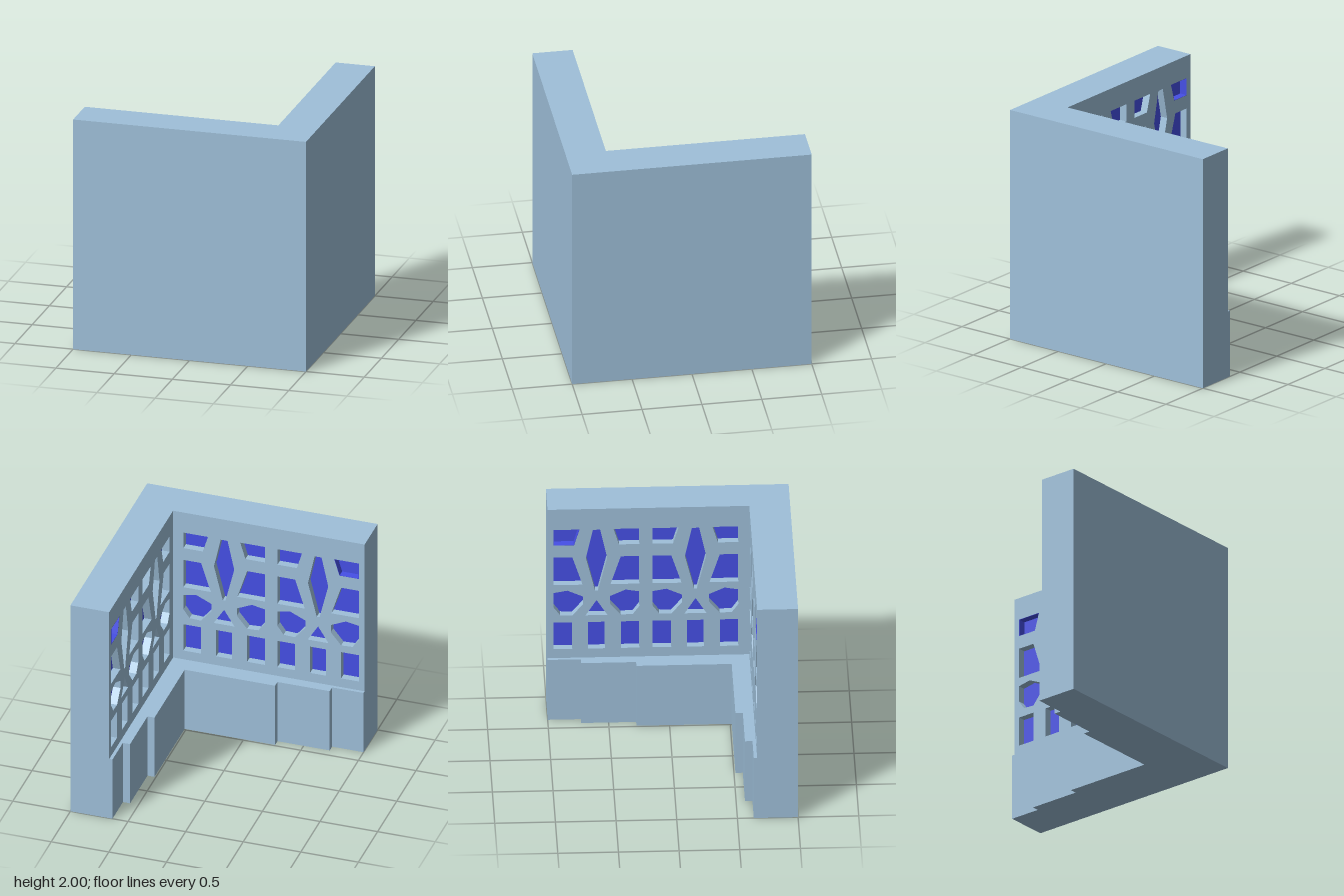
import * as THREE from 'three';

const INNER = 0.663;     // inner face of the walls
const DEPTH = 0.07;      // depth of the window recesses
const CORE = INNER + DEPTH;
const LEDGE = 0.575;     // height of the plinth
const CENTRES = [0.22, -0.596];

const stone = new THREE.MeshStandardMaterial({ color: 0x9fc0da });
stone.name = 'pale blue stone';
const glass = new THREE.MeshStandardMaterial({ color: 0x464fe6 });
glass.name = 'blue glass';

// Openings of one tracery motif, as offsets from its centre line and heights
const CENTRAL = [
  [[-0.03, 1.8], [0.03, 1.8], [0.088, 1.53], [0.012, 1.217], [-0.012, 1.217], [-0.088, 1.53]], // lozenge
  [[0, 1.125], [0.09, 0.98], [-0.09, 0.98]],                                                   // triangle
  [[-0.07, 0.915], [0.07, 0.915], [0.07, 0.66], [-0.07, 0.66]],                                // middle slot
];
const TOP_LIGHT = [[0.14, 1.805], [0.353, 1.805], [0.353, 1.655], [0.185, 1.655]];
const SIDE = [
  TOP_LIGHT,
  [[0.2, 1.54], [0.353, 1.54], [0.353, 1.275], [0.115, 1.275]],                                // tall light
  [[0.24, 1.22], [0.353, 1.2], [0.353, 1.06], [0.3, 0.985], [0.2, 0.98], [0.11, 1.09], [0.11, 1.16]], // petal
  [[0.2, 0.915], [0.353, 0.915], [0.353, 0.66], [0.2, 0.66]],                                  // side slot
];

const toPoints = (list) => list.map(([x, y]) => new THREE.Vector2(x, y));

function mesh(name, geometry, material, parent) {
  const m = new THREE.Mesh(geometry, material);
  m.name = name;
  parent.add(m);
  return m;
}

// Prism standing on the ground, from an outline of [x, z] points
function prism(outline, height) {
  const shape = new THREE.Shape(toPoints(outline.map(([x, z]) => [x, -z])));
  return new THREE.ExtrudeGeometry(shape, { depth: height, bevelEnabled: false }).rotateX(-Math.PI / 2);
}

// One inner wall face with pierced tracery over glass; dir flips it along the wall
function traceryWall(name, dir, end) {
  const wall = new THREE.Group();
  wall.name = name;
  const lo = Math.min(-dir, end * dir);
  const hi = Math.max(-dir, end * dir);
  const settings = { depth: DEPTH, bevelEnabled: false };
  const place = (outline, centre, side) =>
    toPoints(outline.map(([x, y]) => [dir * (centre + side * x), y]));

  const shape = new THREE.Shape(toPoints([[lo, LEDGE], [hi, LEDGE], [hi, 2], [lo, 2]]));
  const cut = (...args) => shape.holes.push(new THREE.Path(place(...args)));
  for (const c of CENTRES) {
    CENTRAL.forEach((o) => cut(o, c, 1));
    for (const side of [-1, 1]) SIDE.forEach((o) => cut(o, c, side));
  }
  mesh('tracery', new THREE.ExtrudeGeometry(shape, settings), stone, wall).position.z = INNER;

  const pane = new THREE.BoxGeometry(1.57, 1.25, 0.006);
  mesh('glassPane', pane, glass, wall).position.set(-0.17 * dir, 1.25, CORE - 0.002);

  // Blue lining of the top light at the free end
  const rim = place(TOP_LIGHT, CENTRES[1], -1);
  if (THREE.ShapeUtils.isClockWise(rim)) rim.reverse();
  const middle = rim.reduce((sum, p) => sum.add(p), new THREE.Vector2()).divideScalar(rim.length);
  const lining = new THREE.Shape(rim);
  lining.holes.push(new THREE.Path(rim.map((p) => p.clone().lerp(middle, 0.03))));
  mesh('topLightLining', new THREE.ExtrudeGeometry(lining, settings), glass, wall).position.z = INNER;
  return wall;
}

export function createModel() {
  const model = new THREE.Group();
  model.name = 'cornerWall';

  // Solid outer walls
  mesh('outerWalls', prism([[-1, 1], [1, 1], [1, -1], [CORE, -1], [CORE, CORE], [-1, CORE]], 2), stone, model);

  // Stepped plinth, the second arm mirrored across the diagonal
  const arm = [[-1, CORE], [-1, 0.635], [-0.727, 0.635], [-0.727, 0.573], [-0.273, 0.573], [-0.273, 0.512]];
  const mirrored = arm.map(([x, z]) => [z, x]).reverse();
  mesh('plinth', prism([...arm, [0.512, 0.512], ...mirrored, [CORE, CORE]], LEDGE), stone, model);

  // Pierced inner faces
  model.add(traceryWall('frontTracery', 1, CORE));
  const left = traceryWall('leftTracery', -1, INNER);
  left.rotation.y = Math.PI / 2;
  model.add(left);

  return model;
}
